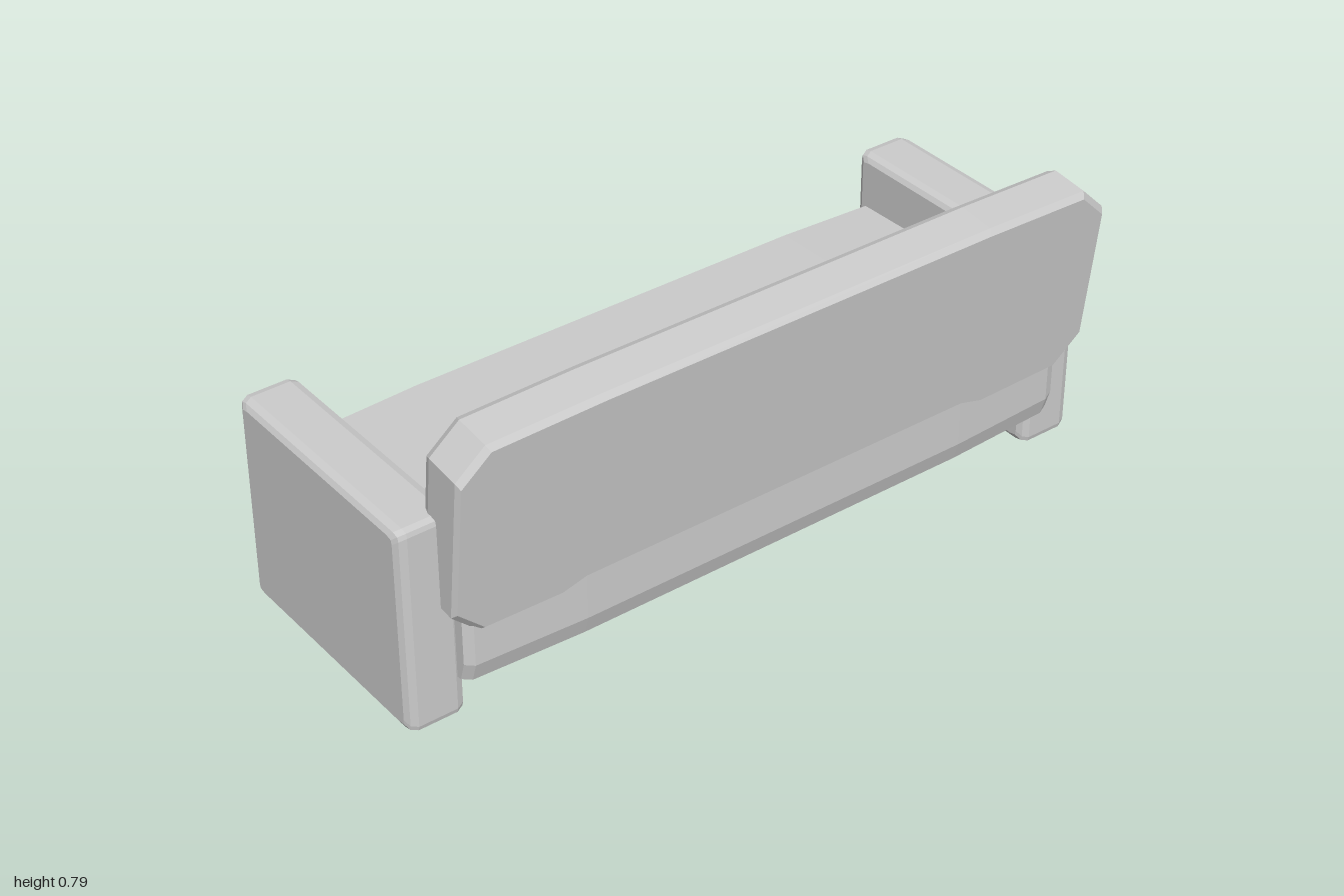
import * as THREE from 'three';

const material = new THREE.MeshStandardMaterial({ color: 0xcccccc, flatShading: true });

// Cushion block: a convex outline (counter-clockwise, about the origin) lofted along z.
// Each section is [z, insetX, insetY], from low z to high z; both ends are capped.
function loft(outline, sections) {
  const n = outline.length, pos = [], idx = [];
  for (const [z, insetX, insetY] of sections)
    for (const [x, y] of outline)
      pos.push(x - Math.sign(x) * insetX, y - Math.sign(y) * insetY, z);
  for (let s = 0; s < sections.length - 1; s++)
    for (let i = 0; i < n; i++) {
      const a = s * n + i, b = s * n + (i + 1) % n;
      idx.push(a, b, b + n, a, b + n, a + n);
    }
  const last = (sections.length - 1) * n;
  for (let i = 1; i < n - 1; i++) {
    idx.push(0, i + 1, i);
    idx.push(last, last + i, last + i + 1);
  }
  const g = new THREE.BufferGeometry();
  g.setAttribute('position', new THREE.Float32BufferAttribute(pos, 3));
  g.setIndex(idx);
  g.computeVertexNormals();
  return g;
}

// Full outline from the points of its upper right quarter, listed from the side to the top
function mirrorQuarter(points) {
  const right = [...points.slice().reverse().map(([x, y]) => [x, -y]), ...points];
  return [...right, ...right.slice().reverse().map(([x, y]) => [-x, y])];
}

function addMesh(group, name, geometry, x, y, z) {
  const mesh = new THREE.Mesh(geometry, material);
  mesh.name = name;
  mesh.position.set(x, y, z);
  group.add(mesh);
  return mesh;
}

export function createModel() {
  const sofa = new THREE.Group();
  sofa.name = 'sofa';

  // Armrests at both ends, rounded along every edge
  const arm = loft(mirrorQuarter([[0.333, 0.262], [0.33, 0.274], [0.313, 0.278]]), [
    [-0.078, 0.022, 0.018], [-0.07, 0.007, 0.006], [-0.052, 0, 0],
    [0.052, 0, 0], [0.07, 0.007, 0.006], [0.078, 0.022, 0.018]]);
  addMesh(sofa, 'leftArmrest', arm, -0.05, 0.283, 0.921);
  addMesh(sofa, 'rightArmrest', arm, -0.05, 0.283, -0.921);

  // Seat base, bowed slightly along its front and back
  const seatProfile = [[0.335, -0.14], [0.35, -0.09], [0.35, 0.12], [0.32, 0.195],
    [-0.335, 0.178], [-0.348, 0.165], [-0.357, 0.05], [-0.357, -0.11],
    [-0.34, -0.16], [0.22, -0.16], [0.305, -0.145]];
  addMesh(sofa, 'seat', loft(seatProfile, [
    [-0.885, 0.02, 0.012], [-0.86, 0.01, 0.004], [-0.56, 0, 0],
    [0.56, 0, 0], [0.86, 0.01, 0.004], [0.885, 0.02, 0.012]]),
  -0.02, 0.24, -0.02);

  // Leaning backrest with cut corners, its front face curving back towards the top
  const backOutline = mirrorQuarter([[0.935, 0.195], [0.86, 0.268], [0.56, 0.275]]);
  const backGeometry = loft(backOutline, [
    [-0.071, 0.02, 0.085], [-0.061, 0.008, 0.012], [-0.04, 0, 0],
    [0.058, 0, 0], [0.071, 0.008, 0.014]]).rotateY(Math.PI / 2);
  const back = addMesh(sofa, 'backrest', backGeometry, 0.287, 0.518, -0.036);
  back.rotation.z = -0.115;

  return sofa;
}
